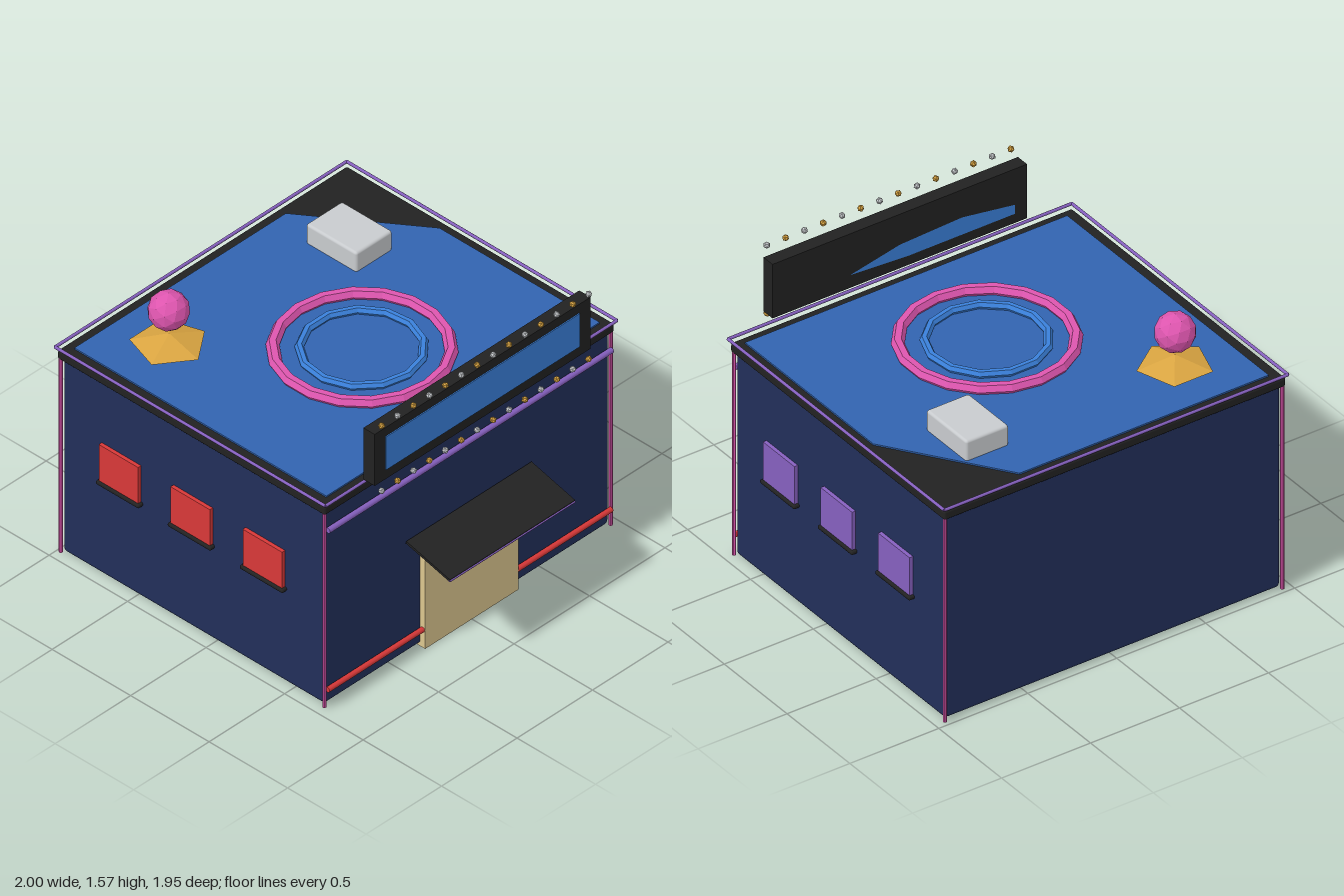
import * as THREE from 'three';
import { RoundedBoxGeometry } from 'three/addons/geometries/RoundedBoxGeometry.js';

const paint = (name, color, extra = {}) => {
  const m = new THREE.MeshStandardMaterial({ color, ...extra });
  m.name = name;
  return m;
};

export function createModel() {
  const navy = paint('navy', 0x222f5a);
  const black = paint('black', 0x222222);
  const red = paint('red', 0xd83838);
  const pink = paint('pink', 0xdd55ae, { flatShading: true });
  const purple = paint('purple', 0x8660bf);
  const gold = paint('gold', 0xd9a441, { flatShading: true });
  const cream = paint('cream', 0xdcc68f);
  const silver = paint('silver', 0xc8cbce);
  const blue = paint('blue', 0x3a80da, { flatShading: true });
  const roofBlue = paint('roofBlue', 0x3163b0, { side: THREE.DoubleSide });

  const model = new THREE.Group();
  model.name = 'nightclub';

  const add = (name, geo, mat, x = 0, y = 0, z = 0, parent = model) => {
    const mesh = new THREE.Mesh(geo, mat);
    mesh.name = name;
    mesh.position.set(x, y, z);
    parent.add(mesh);
    return mesh;
  };
  // box given by its minimum and maximum corners
  const box = (name, mat, a, b, r = 0, parent = model) => {
    const s = a.map((v, i) => b[i] - v);
    const geo = r ? new RoundedBoxGeometry(...s, 2, r) : new THREE.BoxGeometry(...s);
    return add(name, geo, mat, ...a.map((v, i) => (v + b[i]) / 2), parent);
  };
  // round bar between two points
  const bar = (name, mat, a, b, r) => {
    const p = new THREE.Vector3(...a), q = new THREE.Vector3(...b);
    const mesh = add(name, new THREE.CylinderGeometry(r, r, p.distanceTo(q), 8), mat);
    mesh.position.copy(p).lerp(q, 0.5);
    mesh.quaternion.setFromUnitVectors(new THREE.Vector3(0, 1, 0), q.sub(p).normalize());
    return mesh;
  };

  // Building and cornice
  box('walls', navy, [-0.97, 0.015, -0.945], [0.7, 1.15, 0.945], 0.025);
  box('cornice', black, [-0.988, 1.13, -0.96], [0.718, 1.18, 0.96], 0.012);

  // Roof sheet with one clipped corner
  const roof = new THREE.Shape([
    [-0.935, -0.9], [0.67, -0.9], [0.67, 0.91], [-0.35, 0.91], [-0.935, 0.5],
  ].map(([x, y]) => new THREE.Vector2(x, y)));
  const roofGeo = new THREE.ExtrudeGeometry(roof, { depth: 0.012, bevelEnabled: false });
  add('roof', roofGeo.rotateX(-Math.PI / 2), roofBlue, 0, 1.176, 0);

  // Light strip running around the roof edge
  for (const s of [-1, 1]) {
    bar('roofTrim', purple, [-0.995, 1.197, s * 0.966], [0.727, 1.197, s * 0.966], 0.008);
    const x = s < 0 ? -0.995 : 0.727;
    bar('roofTrim', purple, [x, 1.197, -0.966], [x, 1.197, 0.966], 0.008);
  }

  // Corner light tubes
  for (const x of [-0.975, 0.704])
    for (const z of [-0.948, 0.948])
      bar('cornerTube', pink, [x, 0.01, z], [x, 1.14, z], 0.01);

  // Windows and sills on both long walls
  for (const s of [1, -1]) {
    for (const x of [-0.592, -0.135, 0.325]) {
      const win = new THREE.Group();
      win.name = s > 0 ? 'frontWindow' : 'backWindow';
      model.add(win);
      add('pane', new THREE.BoxGeometry(0.25, 0.21, 0.026), s > 0 ? red : purple, x, 0.675, s * 0.952, win);
      add('sill', new RoundedBoxGeometry(0.275, 0.022, 0.036, 2, 0.009), black, x, 0.56, s * 0.958, win);
    }
  }

  // Entrance wall: light bars, door and awning
  bar('upperLightBar', purple, [0.718, 1.035, -0.94], [0.718, 1.035, 0.94], 0.015);
  for (const s of [-1, 1])
    bar('lowerLightBar', red, [0.716, 0.11, s * 0.3], [0.716, 0.11, s * 0.94], 0.014);
  box('door', cream, [0.68, 0.005, -0.307], [0.732, 0.585, 0.31]);
  const awning = add('awning', new THREE.BoxGeometry(0.288, 0.014, 0.83), black, 0.85, 0.634, 0);
  awning.rotation.z = -0.262;
  bar('awningTrim', purple, [0.988, 0.594, -0.415], [0.988, 0.594, 0.415], 0.006);

  // Coloured plates under the floor by the entrance
  [gold, silver, red].forEach((mat, i) =>
    box('floorPlate', mat, [0.545, 0.006, -0.115 + i * 0.14], [0.635, 0.018, 0.01 + i * 0.14]));

  // Sign board
  box('signBoard', black, [0.728, 1.213, -0.715], [0.8, 1.512, 0.715]);
  box('signPanel', blue, [0.798, 1.27, -0.638], [0.806, 1.462, 0.645]);
  const patch = new THREE.Shape([
    [-0.28, 1.285], [0.05, 1.265], [0.645, 1.265], [0.645, 1.315], [0.35, 1.36], [0, 1.345],
  ].map(([z, y]) => new THREE.Vector2(z, y)));
  const back = add('signBackPanel', new THREE.ShapeGeometry(patch), blue, 0.726, 0, 0);
  back.rotation.y = -Math.PI / 2;

  // Bulbs above and below the sign
  const bulbGeo = new THREE.IcosahedronGeometry(0.017, 0);
  for (const [row, y] of [1.557, 1.18].entries()) {
    for (let i = 0; i < 14; i++) {
      const bulb = add('bulb', bulbGeo, (i + row) % 2 ? silver : gold, 0.818, y, 0.688 - i * 0.1055);
      bulb.rotation.set(i * 0.7, i * 1.3, row);
    }
  }

  // Rings lying on the roof
  const ring = (name, mat, R, r, n) =>
    add(name, new THREE.TorusGeometry(R, r, 6, n).rotateX(Math.PI / 2), mat, 0.032, 1.203, 0);
  ring('outerRing', pink, 0.412, 0.032, 18);
  ring('innerRing', blue, 0.289, 0.022, 13);

  // Roof equipment: vent box, five-sided base and ball
  box('ventUnit', silver, [-0.716, 1.18, -0.645], [-0.394, 1.298, -0.405], 0.014);
  const cone = new THREE.ConeGeometry(0.185, 0.055, 5).rotateY(Math.PI / 2);
  add('ballBase', cone, gold, -0.634, 1.231, 0.585);
  add('ball', new THREE.IcosahedronGeometry(0.1, 1), pink, -0.64, 1.388, 0.582);

  return model;
}
